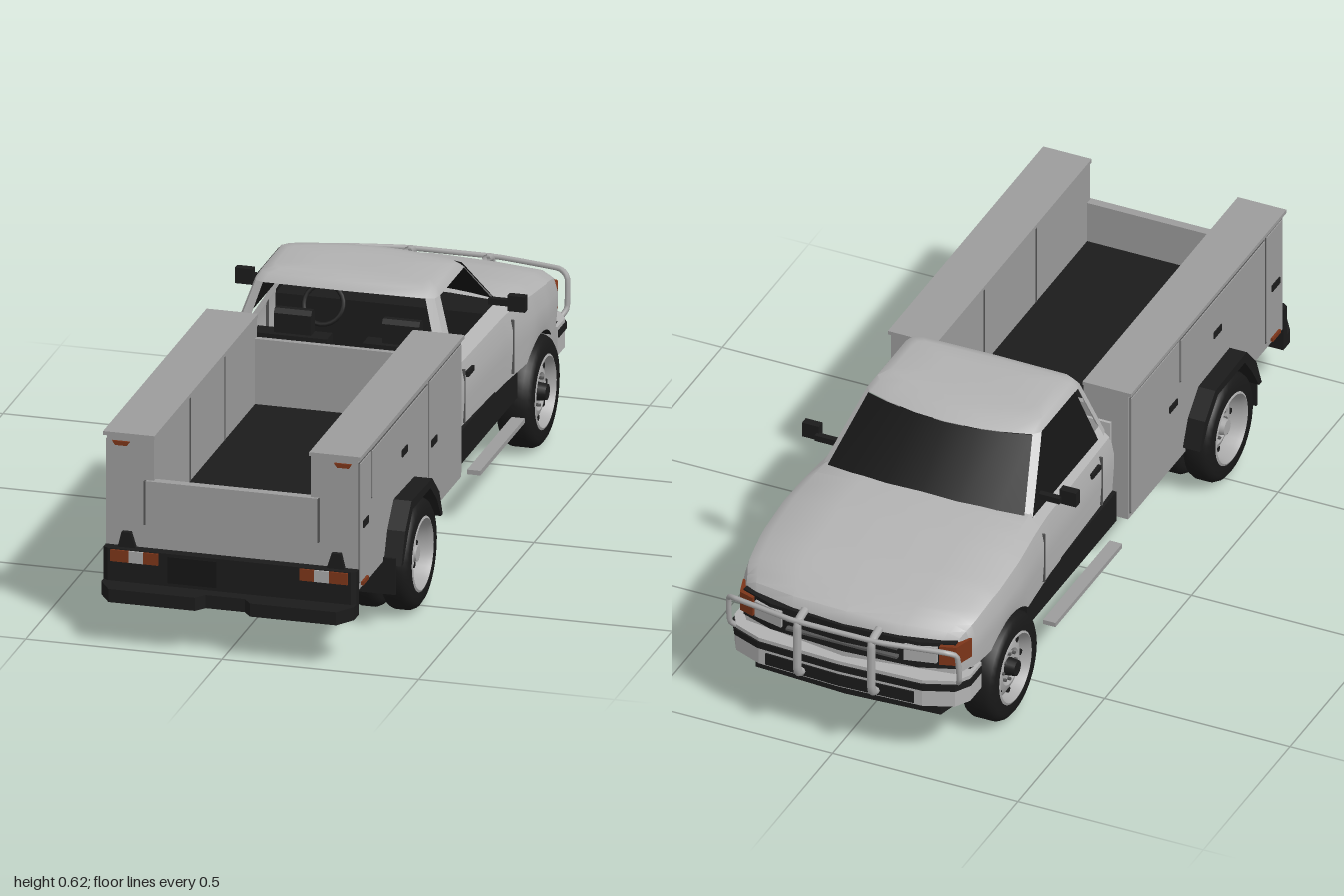
import * as THREE from 'three';
import { toCreasedNormals } from 'three/addons/utils/BufferGeometryUtils.js';

const paint = (name, color) => new THREE.MeshStandardMaterial({ name, color, side: THREE.DoubleSide });
const M = {
  cab: paint('cab silver', 0xb2b2b2), box: paint('service body grey', 0x9c9c9c),
  black: paint('black trim', 0x1b1b1b), glass: paint('dark glass', 0x151515),
  seam: paint('seam grey', 0x555555), tyre: paint('tyre black', 0x191919),
  metal: paint('bright metal', 0xa8a8a8), amber: paint('amber red lens', 0x7c3519),
};

export function createModel() {
  const root = new THREE.Group();
  root.name = 'serviceTruck';
  const add = (name, geo, mat, x = 0, y = 0, z = 0, parent = root) => {
    const m = new THREE.Mesh(geo, mat);
    m.name = name;
    m.position.set(x, y, z);
    parent.add(m);
    return m;
  };
  // box given by its minimum and maximum corners
  const box = (name, mat, x0, x1, y0, y1, z0, z1) =>
    add(name, new THREE.BoxGeometry(Math.abs(x1 - x0), y1 - y0, z1 - z0), mat, (x0 + x1) / 2, (y0 + y1) / 2, (z0 + z1) / 2);
  const shape = pts => new THREE.Shape(pts.map(p => new THREE.Vector2(...p)));
  const extrude = (pts, depth) => new THREE.ExtrudeGeometry(shape(pts), { depth, bevelEnabled: false });
  // (z, y) outline given thickness along x
  const side = (name, mat, pts, xa, xb) =>
    add(name, extrude(pts, Math.abs(xb - xa)).rotateY(-Math.PI / 2), mat, Math.max(xa, xb));
  // (x, z) outline given thickness along y; plan mirrors a half outline first
  const slab = (name, mat, pts, y0, y1) => add(name, extrude(pts, y1 - y0).rotateX(Math.PI / 2), mat, 0, y1);
  const plan = (name, mat, half, y0, y1) =>
    slab(name, mat, [...half, ...half.slice().reverse().map(([x, z]) => [-x, z])], y0, y1);
  // surface through rows of points
  const sheet = (name, mat, rows, crease = 0.6) => {
    const g = new THREE.BufferGeometry(), n = rows[0].length, idx = [];
    g.setAttribute('position', new THREE.Float32BufferAttribute(rows.flat(2), 3));
    for (let i = 0; i < rows.length - 1; i++) for (let j = 0; j < n - 1; j++) {
      const a = i * n + j, b = a + n;
      idx.push(a, b, a + 1, b, b + 1, a + 1);
    }
    g.setIndex(idx);
    g.computeVertexNormals();
    return add(name, toCreasedNormals(g, crease), mat);
  };
  const tube = (name, mat, pts, r) => add(name, new THREE.TubeGeometry(
    new THREE.CatmullRomCurve3(pts.map(p => new THREE.Vector3(...p)), false, 'catmullrom', 0.2), 40, r, 8), mat);
  const lerp = THREE.MathUtils.lerp;
  const curve = (table, z) => {
    let i = 0;
    while (i < table.length - 2 && z < table[i + 1][0]) i++;
    const [a, b] = [table[i], table[i + 1]];
    return lerp(a[1], b[1], (z - a[0]) / (b[0] - a[0]));
  };

  // Cross-sections of the cab lower body, hood and fenders; the nose is bowed in plan
  const topY = [[0, 0.445], [-0.48, 0.455], [-0.6, 0.443], [-0.75, 0.42], [-0.86, 0.39], [-0.92, 0.365], [-0.94, 0.335]];
  const halfW = [[0, 0.295], [-0.4, 0.31], [-0.6, 0.328], [-0.72, 0.328], [-0.85, 0.315], [-0.92, 0.297], [-0.94, 0.285]];
  const bottom = z => Math.max(0.25, 0.14 + Math.sqrt(Math.max(0, 0.152 ** 2 - (z + 0.66) ** 2)));
  const profile = [[0.985, 0], [1, 0.35], [1, 0.6], [0.968, 0.84], [0.87, 0.96], [0.5, 1], [0, 1.03]];
  const halfSection = (z, flat = 1) => {
    const w = curve(halfW, z) * flat, t = curve(topY, z), bow = 0.045 * flat * THREE.MathUtils.smoothstep(-z, 0.8, 0.94);
    return profile.map(([px, f], i) => [w * px, i ? lerp(0.25, t, f) : bottom(z), z + bow * px * px]);
  };
  const flip = pts => pts.map(([x, y, z]) => [-x, y, z]);
  const section = (z, flat) => {
    const half = halfSection(z, flat);
    return [...half, ...flip(half.slice(0, -1).reverse())];
  };
  const cabZ = [-0.01, -0.1, -0.25, -0.4, -0.45], noseZ = [-0.45, -0.5];
  for (let i = 0; i <= 12; i++) noseZ.push(-0.554 - i * 0.01767);
  noseZ.push(-0.8, -0.83, -0.86, -0.89, -0.92, -0.94);
  sheet('hoodAndFenders', M.cab, [...noseZ.map(z => section(z)), section(-0.94, 0)]);
  const cabSide = cabZ.map(z => halfSection(z).slice(0, 5));
  sheet('doorPanel', M.cab, cabSide);
  sheet('doorPanel', M.cab, cabSide.map(flip));
  box('cabBackWall', M.cab, -0.288, 0.288, 0.2, 0.455, -0.016, -0.008);
  sheet('cabUnderside', M.black, [...cabZ, ...noseZ].filter(z => z > -0.88).map(z => [-1, 1].map(s => [s * curve(halfW, z) * 0.98, bottom(z), z])));

  // Greenhouse: half rings, used whole for the roof and in strips for the pillars
  const bow = 0.045;
  const halfRing = (y, w, zf, zr) => [[0, zf], [0.35, zf + bow * 0.12], [0.7, zf + bow * 0.5], [0.93, zf + bow * 0.87], [1, zf + bow * 1.3],
    [1, zr - 0.035], [0.97, zr - 0.012], [0.88, zr - 0.003], [0, zr]].map(([f, z]) => [w * f, y, z]);
  const belt = halfRing(0.435, 0.285, -0.505, -0.01), header = halfRing(0.585, 0.235, -0.355, -0.052);
  sheet('cabRoof', M.cab, [header, halfRing(0.605, 0.222, -0.325, -0.065), halfRing(0.613, 0.195, -0.29, -0.09),
    halfRing(0.616, 0.1, -0.24, -0.13), halfRing(0.616, 0, -0.2, -0.18)].map(h => [...h, ...flip(h.slice(0, -1).reverse())]), 0.8);
  for (const [name, a, b] of [['windshieldPillar', 3, 5], ['rearPillar', 5, 8]]) {
    const rows = [belt.slice(a, b), header.slice(a, b)];
    sheet(name, M.cab, rows);
    sheet(name, M.cab, rows.map(flip));
  }
  const at = (y, a, b) => lerp(a, b, (y - 0.435) / 0.15);
  sheet('windshield', M.glass, [0.44, 0.584].map(y => [-0.94, -0.7, -0.35, 0, 0.35, 0.7, 0.94].map(f =>
    [f * at(y, 0.285, 0.235), y + 0.003, at(y, -0.505, -0.355) + bow * f * f - 0.004])));
  sheet('driverWindow', M.glass, [0.443, 0.588].map(y => [at(y, -0.075, -0.105), at(y, -0.462, -0.3)].map(z => [-at(y, 0.285, 0.235) - 0.002, y, z])));

  // Cab interior
  box('dashboard', M.black, -0.27, 0.27, 0.34, 0.435, -0.45, -0.38);
  box('firewall', M.black, -0.29, 0.29, 0.25, 0.43, -0.46, -0.45);
  box('interiorMirror', M.metal, -0.038, 0.038, 0.563, 0.583, -0.335, -0.327);
  add('steeringWheel', new THREE.TorusGeometry(0.05, 0.006, 8, 24), M.black, -0.135, 0.435, -0.335).rotation.x = -0.5;

  for (const s of [-1, 1]) {
    // Seat, mirror, door seams, handle, rocker and step
    box('seatBase', M.black, s * 0.04, s * 0.24, 0.25, 0.325, -0.28, -0.07);
    box('seatBack', M.black, s * 0.045, s * 0.235, 0.31, 0.45, -0.11, -0.06);
    side('headrest', M.black, [[-0.11, 0.45], [-0.075, 0.45], [-0.075, 0.5], [-0.085, 0.511], [-0.1, 0.511], [-0.11, 0.5]], s * 0.09, s * 0.185);
    const mirror = new THREE.Group();
    mirror.name = 'doorMirror';
    root.add(mirror);
    add('mirrorShell', new THREE.BoxGeometry(0.045, 0.04, 0.022), M.black, s * 0.347, 0.475, -0.375, mirror);
    add('mirrorArm', new THREE.BoxGeometry(0.06, 0.016, 0.016), M.black, s * 0.3, 0.468, -0.39, mirror);
    for (const z of [-0.085, -0.45]) {
      const x = curve(halfW, z);
      box('doorSeam', M.seam, s * (x - 0.006), s * (x + 0.002), 0.26, 0.4, z - 0.002, z + 0.002);
    }
    box('doorHandle', M.black, s * 0.295, s * 0.304, 0.375, 0.388, -0.15, -0.1);
    box('rocker', M.black, s * 0.24, s * 0.303, 0.17, 0.255, -0.525, -0.01);
    box('sideStep', M.box, s * 0.31, s * 0.344, 0.135, 0.147, -0.45, -0.065);

    // Headlamps and corner markers wrapped around the nose
    slab('headlamp', M.metal, [[0.165, -0.93], [0.165, -0.944], [0.245, -0.925], [0.245, -0.905]].map(([x, z]) => [s * x, z]), 0.288, 0.332);
    slab('cornerMarker', M.amber, [[0.25, -0.9], [0.252, -0.923], [0.292, -0.91], [0.309, -0.855], [0.295, -0.855]].map(([x, z]) => [s * x, z]), 0.285, 0.338);

    // Bull bar, one half
    tube('bullBarUpright', M.metal, [[s * 0.1, 0.36, -0.945], [s * 0.1, 0.352, -0.98], [s * 0.1, 0.335, -0.989], [s * 0.1, 0.22, -0.989],
      [s * 0.1, 0.198, -0.98], [s * 0.1, 0.185, -0.93]], 0.011);
    tube('bullBarLoop', M.metal, [[0, 0.352, -0.989], [s * 0.12, 0.352, -0.987], [s * 0.28, 0.35, -0.958], [s * 0.308, 0.335, -0.94],
      [s * 0.31, 0.26, -0.93], [s * 0.295, 0.235, -0.91]], 0.007);

    // Service body side with wheel cut-out
    const arch = [[0.35, 0.16], [0.36, 0.22], [0.42, 0.285], [0.61, 0.285], [0.67, 0.22], [0.69, 0.18]];
    side('serviceSide', M.box, [[0.02, 0.16], ...arch, [0.91, 0.18], [0.91, 0.522], [0.02, 0.522]], s * 0.2, s * 0.32);
    box('serviceCap', M.box, s * 0.197, s * 0.328, 0.52, 0.53, 0.02, 0.915);
    side('wheelFlare', M.black, [[0.335, 0.18], [0.365, 0.25], [0.425, 0.305], [0.605, 0.31], [0.66, 0.25], [0.692, 0.17],
      [0.677, 0.17], [0.635, 0.235], [0.595, 0.285], [0.44, 0.285], [0.385, 0.235], [0.35, 0.18]], s * 0.318, s * 0.366);
    box('wheelWell', M.black, s * 0.16, s * 0.2, 0.2, 0.29, 0.34, 0.7);
    box('mudFlap', M.black, s * 0.19, s * 0.352, 0.096, 0.19, 0.69, 0.697);
    // Compartment doors with seams and latches
    for (const [z0, z1, y0, y1] of [[0.032, 0.305, 0.175, 0.508], [0.32, 0.8, 0.385, 0.505], [0.812, 0.902, 0.2, 0.508]]) {
      box('doorSeam', M.seam, s * 0.319, s * 0.3215, y0 - 0.003, y1 + 0.003, z0 - 0.003, z1 + 0.003);
      box('compartmentDoor', M.box, s * 0.319, s * 0.324, y0, y1, z0, z1);
    }
    for (const [z, y] of [[0.525, 0.408], [0.86, 0.343], [0.27, 0.343]])
      box('latch', M.black, s * 0.32, s * 0.327, y - 0.009, y + 0.009, z - 0.022, z + 0.022);
    box('sideMarker', M.amber, s * 0.32, s * 0.327, 0.186, 0.196, 0.84, 0.885);
    for (const z of [0.3, 0.6]) box('innerSeam', M.seam, s * 0.198, s * 0.2, 0.3, 0.52, z - 0.002, z + 0.002);
    // Rear markers and lamps
    add('upperRearMarker', extrude([[0.26, 0.508], [0.305, 0.508], [0.298, 0.497], [0.268, 0.497]].map(([x, y]) => [s * x, y]), 0.005), M.amber, 0, 0, 0.91);
    for (const [a, b, m] of [[0.18, 0.218, M.amber], [0.218, 0.255, M.metal], [0.255, 0.302, M.amber]])
      box('tailLamp', m, s * a, s * b, 0.204, 0.234, 0.93, 0.943);
    add('lampBracket', extrude([[0.242, 0.23], [0.29, 0.23], [0.279, 0.275], [0.256, 0.275]].map(([x, y]) => [s * x, y]), 0.015), M.black, 0, 0, 0.908);

    // Chassis rail
    box('chassisRail', M.black, s * 0.1, s * 0.14, 0.15, 0.2, -0.9, 0.9);
    for (const z of [0.515, -0.66]) box('leafSpring', M.black, s * 0.15, s * 0.18, 0.12, 0.135, z - 0.2, z + 0.2);
  }

  // Front grille, bumper and valance
  plan('grille', M.black, [[0.284, -0.87], [0.286, -0.9], [0.2, -0.932], [0, -0.946]], 0.268, 0.342);
  for (const y of [0.292, 0.318]) box('grilleBar', M.seam, -0.15, 0.15, y - 0.003, y + 0.003, -0.95, -0.93);
  const nose = [[0.318, -0.82], [0.318, -0.885], [0.295, -0.925], [0.22, -0.955], [0, -0.965]];
  plan('frontBumper', M.cab, nose, 0.175, 0.25);
  plan('bumperStrip', M.black, nose.map(([x, z]) => [x * 1.01, z - 0.004]), 0.222, 0.24);
  plan('bumperIntake', M.black, [[0.2, -0.94], [0.2, -0.96], [0, -0.969]], 0.18, 0.212);
  plan('frontValance', M.black, [[0.27, -0.83], [0.25, -0.91], [0, -0.925]], 0.13, 0.18);
  box('engineBay', M.black, -0.2, 0.2, 0.18, 0.32, -0.85, -0.48);

  // Bed, bulkhead, tailgate
  box('bedFloor', M.black, -0.2, 0.2, 0.285, 0.3, 0.02, 0.9);
  box('bulkhead', M.box, -0.2, 0.2, 0.2, 0.47, 0.02, 0.035);
  box('rearSill', M.box, -0.2, 0.2, 0.2, 0.3, 0.89, 0.91);
  box('tailgate', M.box, -0.22, 0.22, 0.298, 0.412, 0.895, 0.918);
  for (const s of [-1, 1]) box('tailgateEdge', M.seam, s * 0.219, s * 0.223, 0.298, 0.412, 0.91, 0.92);

  // Rear bumper
  plan('rearBumperBack', M.black, [[0.322, 0.91], [0.322, 0.93], [0.31, 0.938], [0, 0.938]], 0.14, 0.236);
  plan('rearBumperStep', M.black, [[0.322, 0.91], [0.322, 0.95], [0.29, 0.998], [0.07, 0.998], [0.05, 0.972], [0, 0.972]], 0.118, 0.152);
  box('plateHolder', M.glass, -0.155, -0.032, 0.162, 0.23, 0.936, 0.944);

  // Underbody
  for (const z of [-0.85, -0.45, -0.2, 0.05, 0.35, 0.72, 0.88]) box('crossMember', M.black, -0.12, 0.12, 0.155, 0.19, z - 0.02, z + 0.02);
  for (const z of [-0.66, 0.515]) {
    add('axle', new THREE.CylinderGeometry(0.022, 0.022, 0.5, 12).rotateZ(Math.PI / 2), M.black, 0, 0.14, z);
    add('differential', new THREE.SphereGeometry(0.036, 14, 10), M.black, 0, 0.142, z);
  }
  add('driveShaft', new THREE.CylinderGeometry(0.014, 0.014, 1.15, 10).rotateX(Math.PI / 2), M.black, 0, 0.15, -0.07);
  box('gearbox', M.black, -0.06, 0.06, 0.13, 0.25, -0.55, -0.2);
  box('fuelTank', M.black, 0.15, 0.26, 0.15, 0.23, 0.03, 0.32);
  tube('exhaust', M.black, [[-0.08, 0.16, -0.5], [-0.17, 0.145, -0.3], [-0.17, 0.145, 0.25], [-0.15, 0.2, 0.5], [-0.18, 0.15, 0.8]], 0.013);

  // Wheels: +y of each lathe points outward
  const lathe = pts => toCreasedNormals(new THREE.LatheGeometry(pts.map(p => new THREE.Vector2(...p)), 36), 0.6);
  const wheel = (s, outer, z, width, dual) => {
    const w = new THREE.Group();
    w.name = dual ? 'rearWheel' : 'frontWheel';
    w.position.set(s * outer, 0.14, z);
    w.rotation.z = -s * Math.PI / 2;
    root.add(w);
    const tyre = lathe([[0.088, -0.012], [0.095, 0], [0.122, 0], [0.134, -0.008], [0.14, -0.02], [0.14, -width + 0.02],
      [0.134, -width + 0.008], [0.122, -width], [0.03, -width]]);
    add('tyre', tyre, M.tyre, 0, 0, 0, w);
    if (dual) add('innerTyre', tyre, M.tyre, 0, -0.085, 0, w);
    const d = dual ? -0.035 : -0.018;
    add('rim', lathe([[0.095, -0.001], [0.089, 0.002], [0.084, -0.012], [0.08, d - 0.01], [0.062, d], [0.048, d + 0.004], [0.04, d - 0.003], [0, d - 0.003]]), M.metal, 0, 0, 0, w);
    add('hub', new THREE.CylinderGeometry(0.02, 0.024, 0.03, 16), dual ? M.metal : M.black, 0, d + 0.008, 0, w);
    for (let i = 0; i < 8; i++) {
      const a = i * Math.PI / 4;
      add('rimHole', new THREE.CylinderGeometry(0.008, 0.008, 0.008, 10), M.black, 0.069 * Math.cos(a), d - 0.004, 0.069 * Math.sin(a), w);
      add('wheelNut', new THREE.CylinderGeometry(0.004, 0.004, 0.01, 6), M.seam, 0.036 * Math.cos(a), d, 0.036 * Math.sin(a), w);
    }
  };
  for (const s of [-1, 1]) {
    wheel(s, 0.368, 0.515, 0.075, true);
    wheel(s, 0.335, -0.66, 0.09, false);
  }
  return root;
}
